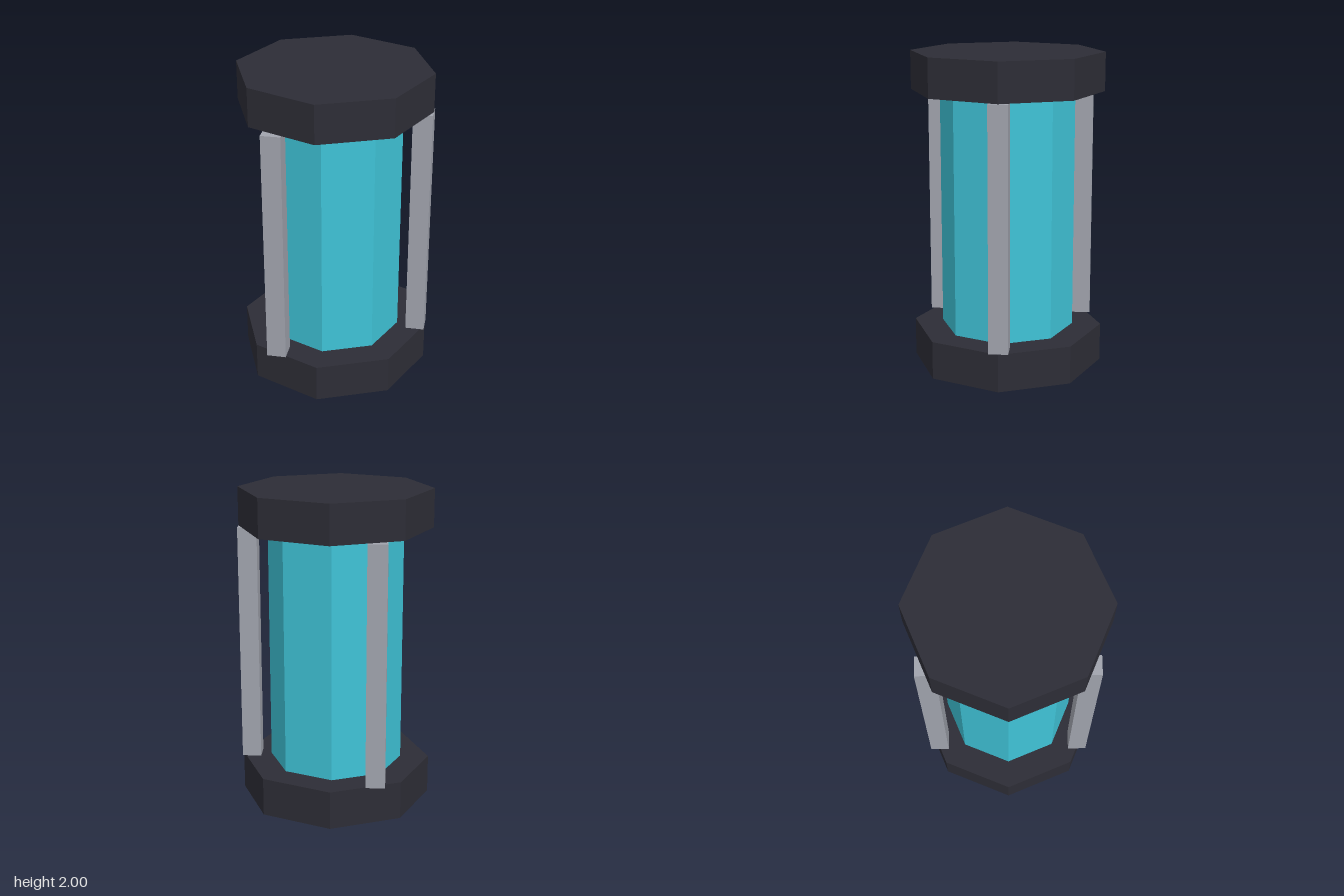
import * as THREE from 'three';

const flat = (name, color) => {
  const m = new THREE.MeshStandardMaterial({ color, flatShading: true });
  m.name = name;
  return m;
};

export function createModel() {
  const group = new THREE.Group();
  group.name = 'canister';
  const darkMetal = flat('darkMetal', 0x2d2d36);
  const cyanGlass = flat('cyanGlass', 0x3fc3d7);
  const greyMetal = flat('greyMetal', 0xa1a4ae);

  const add = (name, geometry, material, x, y, z) => {
    const mesh = new THREE.Mesh(geometry, material);
    mesh.name = name;
    mesh.position.set(x, y, z);
    group.add(mesh);
  };

  // Octagonal end caps, corners on the axes
  const cap = new THREE.CylinderGeometry(0.605, 0.605, 0.242, 8);
  add('bottomCap', cap, darkMetal, 0, 0.121, 0);
  add('topCap', cap, darkMetal, 0, 1.879, 0);

  // Octagonal core
  add('core', new THREE.CylinderGeometry(0.423, 0.423, 1.516, 8), cyanGlass, 0, 1, 0);

  // Three square struts, spaced evenly but all aligned with the axes
  const strut = new THREE.BoxGeometry(0.12, 1.512, 0.12);
  for (let i = 0; i < 3; i++) {
    const a = (i * Math.PI * 2) / 3;
    add(`strut${i + 1}`, strut, greyMetal, 0.545 * Math.cos(a), 1, 0.545 * Math.sin(a));
  }
  return group;
}
